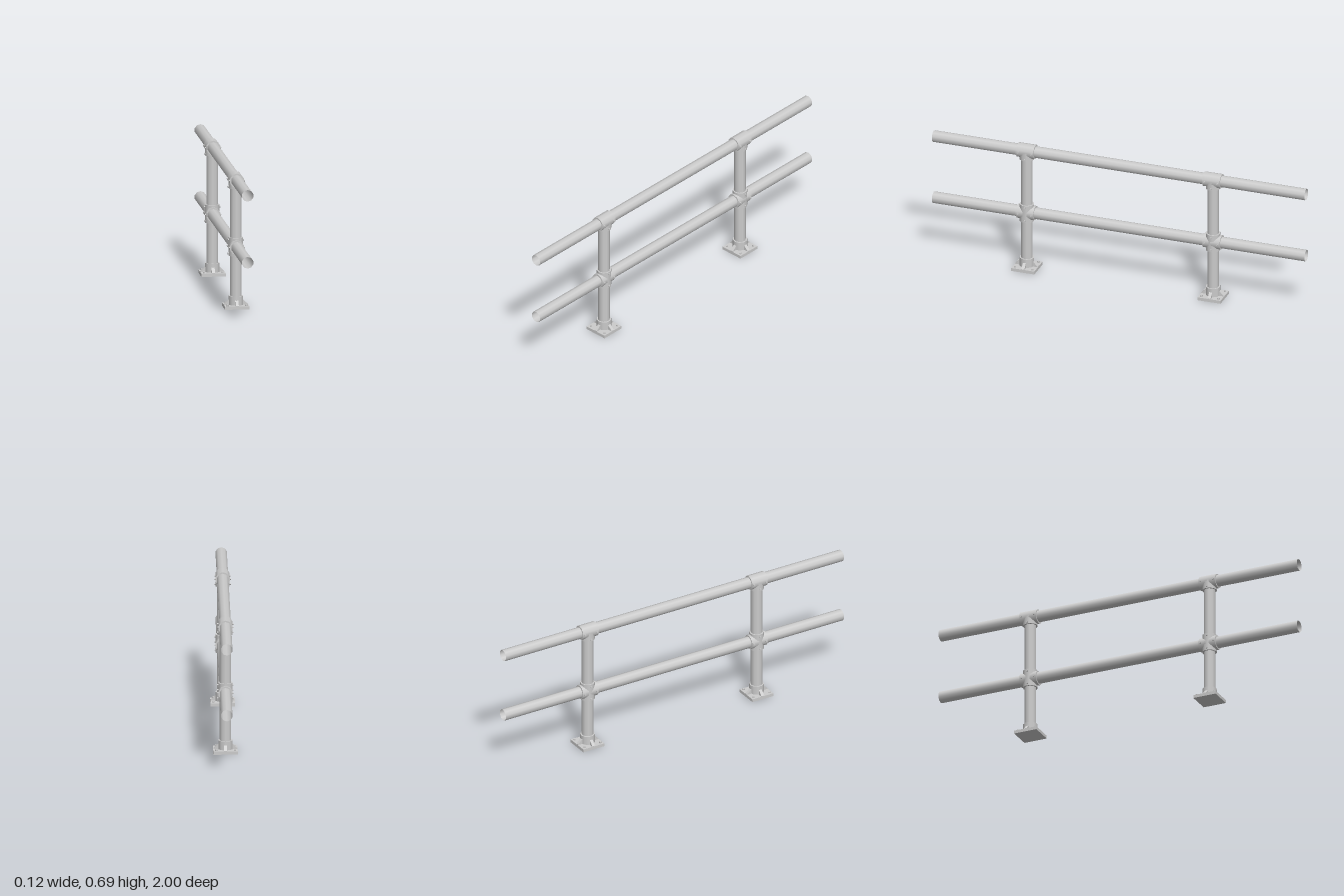
import * as THREE from 'three';

const SIDES = 10;
const PIPE_R = 0.03, SLEEVE_R = 0.0375;
const TOP_Y = 0.657, MID_Y = 0.314, POST_Z = 0.5;

const material = new THREE.MeshStandardMaterial({ color: 0xcccccc });
const openMaterial = new THREE.MeshStandardMaterial({ color: 0xcccccc, side: THREE.DoubleSide });

function add(parent, name, geometry, x = 0, y = 0, z = 0, mat = material) {
  const mesh = new THREE.Mesh(geometry, mat);
  mesh.name = name;
  mesh.position.set(x, y, z);
  parent.add(mesh);
  return mesh;
}

const upright = (r, length, open = false) =>
  new THREE.CylinderGeometry(r, r, length, SIDES, 1, open);
const alongZ = (r, length, open) => upright(r, length, open).rotateX(Math.PI / 2);

// Set screws on both sides of a fitting, at [y, z]
function addScrews(parent, spots) {
  for (const [y, z] of spots) {
    for (const side of [-1, 1]) {
      add(parent, 'setScrew', upright(0.0048, 0.012).rotateZ(Math.PI / 2), side * 0.0355, y, z);
    }
  }
}

// Square foot: plate, collar, four ribs and four corner bolts
function createFoot() {
  const foot = new THREE.Group();
  foot.name = 'foot';
  add(foot, 'basePlate', new THREE.BoxGeometry(0.124, 0.016, 0.124), 0, 0.008, 0);
  add(foot, 'footCollar', upright(SLEEVE_R, 0.047), 0, 0.0385, 0);

  const profile = new THREE.Shape();
  profile.moveTo(0.03, 0.015);
  profile.lineTo(0.061, 0.015);
  profile.lineTo(0.061, 0.018);
  profile.lineTo(0.036, 0.042);
  profile.lineTo(0.03, 0.042);
  const rib = new THREE.ExtrudeGeometry(profile, { depth: 0.016, bevelEnabled: false });
  rib.translate(0, 0, -0.008);
  for (let i = 0; i < 4; i++) {
    add(foot, 'footRib', rib).rotation.y = i * Math.PI / 2;
  }
  for (const x of [-1, 1]) {
    for (const z of [-1, 1]) {
      add(foot, 'anchorBolt', upright(0.0055, 0.009), x * 0.047, 0.0195, z * 0.047);
    }
  }
  return foot;
}

// Tee joining the post to the top rail
function createTee() {
  const tee = new THREE.Group();
  tee.name = 'topTee';
  add(tee, 'railSleeve', alongZ(SLEEVE_R, 0.094));
  add(tee, 'postSleeve', upright(SLEEVE_R, 0.045), 0, -0.0225, 0);
  addScrews(tee, [[0, -0.035], [0, 0.035], [-0.035, 0]]);
  tee.position.y = TOP_Y;
  return tee;
}

// Four-way cross joining the post to the middle rail
function createCross() {
  const cross = new THREE.Group();
  cross.name = 'middleCross';
  add(cross, 'railSleeve', alongZ(SLEEVE_R, 0.094));
  add(cross, 'postSleeve', upright(SLEEVE_R, 0.094));
  addScrews(cross, [[0, -0.035], [0, 0.035], [-0.035, 0], [0.035, 0]]);
  cross.position.y = MID_Y;
  return cross;
}

export function createModel() {
  const railing = new THREE.Group();
  railing.name = 'railing';

  // Two long open-ended rails
  const rail = alongZ(PIPE_R, 2, true);
  add(railing, 'topRail', rail, 0, TOP_Y, 0, openMaterial);
  add(railing, 'middleRail', rail, 0, MID_Y, 0, openMaterial);

  // Two posts with their fittings
  for (const z of [-POST_Z, POST_Z]) {
    const support = new THREE.Group();
    support.name = 'postAssembly';
    add(support, 'post', upright(PIPE_R, TOP_Y - 0.016), 0, (TOP_Y + 0.016) / 2, 0);
    support.add(createFoot(), createCross(), createTee());
    support.position.z = z;
    railing.add(support);
  }
  return railing;
}
